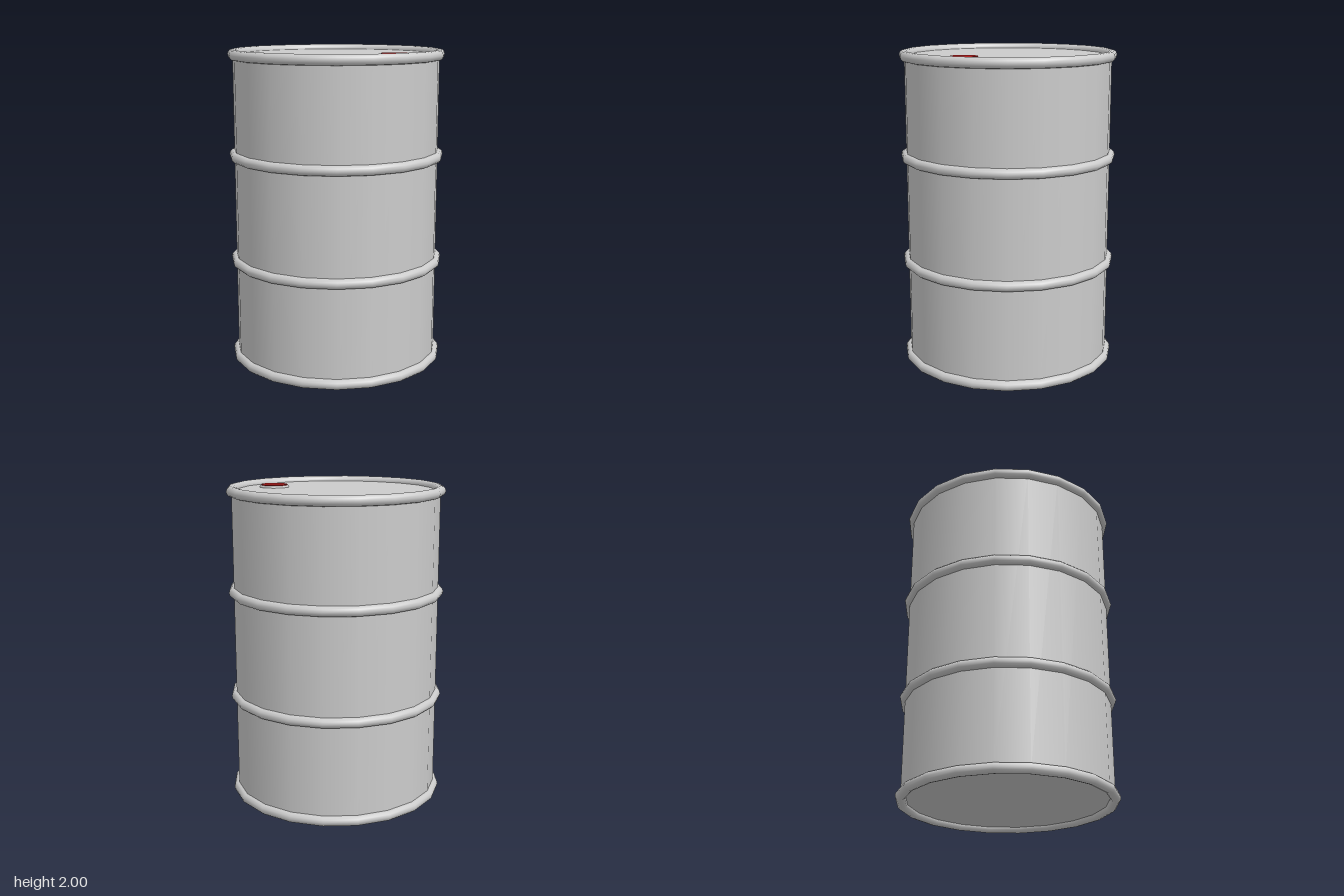
import * as THREE from 'three';

export function createModel() {
  const model = new THREE.Group();
  const grey = new THREE.MeshStandardMaterial({ color: 0xcccccc });
  const red = new THREE.MeshStandardMaterial({ color: 0xb01c1c });

  const radius = 0.65, tube = 0.032, sides = 20;

  function add(name, geometry, material, x, y) {
    const mesh = new THREE.Mesh(geometry, material);
    mesh.name = name;
    mesh.position.set(x, y, 0);
    model.add(mesh);
  }

  // A ring lying flat
  const ring = (r, t, tubeSides, ringSides) =>
    new THREE.TorusGeometry(r, t, tubeSides, ringSides).rotateX(Math.PI / 2);

  // Drum wall with lid and floor, ending at the middle of the rims
  add('drumBody', new THREE.CylinderGeometry(radius, radius, 2 - 2 * tube, sides), grey, 0, 1);

  // Rims at both ends and two hoops between
  const hoops = { bottomRim: tube, lowerHoop: 0.662, upperHoop: 1.338, topRim: 2 - tube };
  for (const [name, y] of Object.entries(hoops)) {
    add(name, ring(radius, tube, 12, sides), grey, 0, y);
  }

  // Filler plug with its collar
  add('plugCollar', ring(0.082, 0.013, 10, 32), grey, 0.433, 1.968);
  add('plugCap', new THREE.CylinderGeometry(0.083, 0.083, 0.03, 32), red, 0.433, 1.971);

  return model;
}
